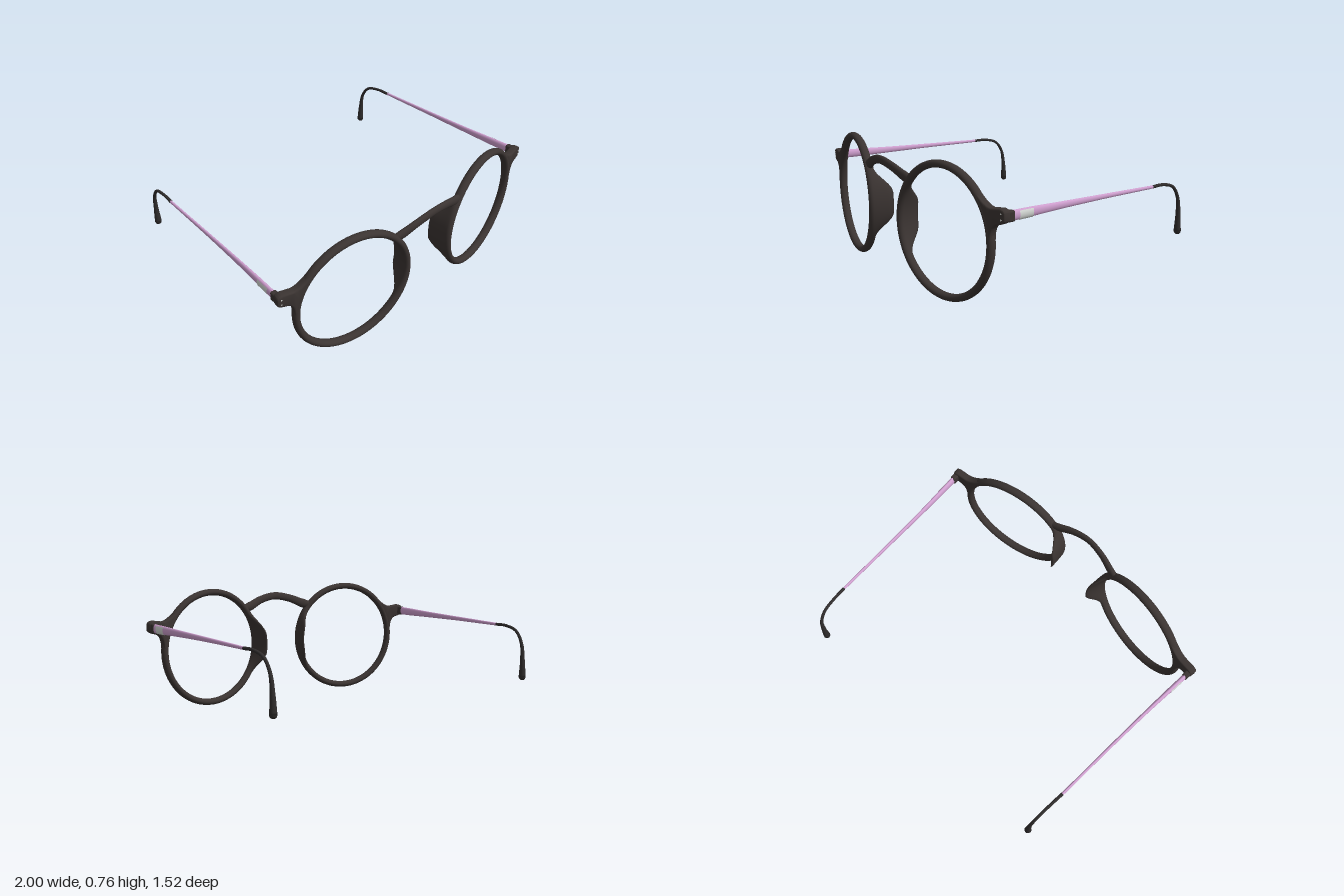
import * as THREE from 'three';
import { RoundedBoxGeometry } from 'three/addons/geometries/RoundedBoxGeometry.js';
import { toCreasedNormals } from 'three/addons/utils/BufferGeometryUtils.js';

const mat = (name, color, side = THREE.FrontSide) => {
  const m = new THREE.MeshStandardMaterial({ color, side });
  m.name = name;
  return m;
};

// Skin a grid of points: rows along the part, columns around its section
function loft(rows, closeRows, closeCols) {
  const n = rows.length, m = rows[0].length, index = [];
  for (let i = 0; i < (closeRows ? n : n - 1); i++) {
    for (let j = 0; j < (closeCols ? m : m - 1); j++) {
      const i2 = (i + 1) % n, j2 = (j + 1) % m;
      const a = i * m + j, b = i * m + j2, c = i2 * m + j, d = i2 * m + j2;
      index.push(a, b, c, b, d, c);
    }
  }
  const g = new THREE.BufferGeometry().setFromPoints(rows.flat());
  g.setIndex(index);
  g.computeVertexNormals();
  return g;
}

// Sweep an ellipse along a smooth path; each station is [x, y, z, sideRadius, upRadius]
function sweep(stations, side, { steps = 40, sides = 16, arc = null } = {}) {
  const curve = new THREE.CatmullRomCurve3(stations.map(s => new THREE.Vector3(s[0], s[1], s[2])));
  const rows = [];
  for (let i = 0; i <= steps; i++) {
    const t = i / steps, f = t * (stations.length - 1);
    const k = Math.min(Math.floor(f), stations.length - 2);
    const rs = THREE.MathUtils.lerp(stations[k][3], stations[k + 1][3], f - k);
    const ru = THREE.MathUtils.lerp(stations[k][4], stations[k + 1][4], f - k);
    const p = curve.getPoint(t), T = curve.getTangent(t);
    const S = side.clone().addScaledVector(T, -side.dot(T)).normalize();
    const U = T.clone().cross(S);
    const row = [];
    for (let j = 0; j < (arc ? sides + 1 : sides); j++) {
      const a = arc ? arc[0] + (arc[1] - arc[0]) * j / sides : j / sides * Math.PI * 2;
      row.push(p.clone().addScaledVector(S, rs * Math.cos(a)).addScaledVector(U, ru * Math.sin(a)));
    }
    // closed end caps
    if (!arc && i === 0) rows.push(row.map(() => p.clone()));
    rows.push(row);
    if (!arc && i === steps) rows.push(row.map(() => p.clone()));
  }
  return loft(rows, false, !arc);
}

// Mirror a geometry across x = 0, keeping faces outward
function mirror(geo) {
  const g = geo.clone().scale(-1, 1, 1);
  const src = g.index ? Array.from(g.index.array)
    : Array.from({ length: g.attributes.position.count }, (_, i) => i);
  for (let i = 0; i < src.length; i += 3) [src[i], src[i + 1]] = [src[i + 1], src[i]];
  g.setIndex(src);
  return g;
}

// Ring whose back edge swells into a nose pad on the nose side
function rimGeometry() {
  const rows = [], n = 96, m = 20;
  for (let i = 0; i < n; i++) {
    const th = i / n * Math.PI * 2;
    const w = THREE.MathUtils.smoothstep(0.62 - Math.abs(th - 3.13), 0, 0.45);
    const row = [];
    for (let j = 0; j < m; j++) {
      const a = j / m * Math.PI * 2;
      const back = w * Math.max(0, Math.sin(a)) ** 2;
      const r = 0.361 + 0.021 * Math.cos(a) * (1 - 0.2 * back) + 0.006 * back;
      row.push(new THREE.Vector3(r * Math.cos(th), r * Math.sin(th),
        -0.026 * Math.sin(a) - 0.1 * back));
    }
    rows.push(row);
  }
  return loft(rows, true, true);
}

// Flared end piece that carries the hinge
function endPieceGeometry() {
  const s = new THREE.Shape();
  s.moveTo(0.235, 0.274);
  s.lineTo(0.262, 0.268);
  s.quadraticCurveTo(0.335, 0.2, 0.378, 0.2);
  s.lineTo(0.44, 0.21);
  s.quadraticCurveTo(0.475, 0.206, 0.475, 0.185);
  s.lineTo(0.475, 0.15);
  s.quadraticCurveTo(0.472, 0.134, 0.42, 0.122);
  s.quadraticCurveTo(0.375, 0.11, 0.376, 0.03);
  s.lineTo(0.36, 0.03);
  s.lineTo(0.338, 0.125);
  s.lineTo(0.29, 0.21);
  const g = new THREE.ExtrudeGeometry(s, {
    depth: 0.028, bevelThickness: 0.01, bevelSize: 0.01, bevelOffset: -0.01,
    bevelSegments: 3, curveSegments: 10,
  });
  return toCreasedNormals(g.translate(0, 0, -0.014), 0.7);
}

export function createModel() {
  const frame = mat('dark brown frame', 0x3b3432);
  const tipDark = mat('charcoal tip', 0x302d2d);
  const lilac = mat('lilac temple', 0xd0a0d0);
  const pale = mat('pale grey', 0xd4d8d4, THREE.DoubleSide);
  const X = new THREE.Vector3(1, 0, 0), Z = new THREE.Vector3(0, 0, 1);

  const model = new THREE.Group();
  model.name = 'eyeglasses';

  // Parts of the left half: [name, geometry, material]
  const place = g => g.rotateY(0.175).translate(0.53, 0.383, 0.652);
  const parts = [
    ['rim', place(rimGeometry()), frame],
    ['endPiece', place(endPieceGeometry()), frame],
    ['hinge', new RoundedBoxGeometry(0.036, 0.058, 0.055, 3, 0.01).translate(0.972, 0.549, 0.542), frame],
    ['temple', sweep([
      [0.972, 0.549, 0.53, 0.015, 0.028],
      [0.962, 0.549, 0.4, 0.014, 0.026],
      [0.948, 0.549, 0.2, 0.011, 0.02],
      [0.932, 0.549, -0.1, 0.009, 0.014],
      [0.914, 0.547, -0.5, 0.008, 0.009],
    ], X), lilac],
    ['templeInlay', sweep([
      [0.9685, 0.549, 0.485, 0.0165, 0.029],
      [0.9615, 0.549, 0.395, 0.0165, 0.0285],
    ], X, { steps: 6, sides: 8, arc: [-0.8, 1.3] }), pale],
    ['earHook', sweep([
      [0.914, 0.547, -0.49, 0.0095, 0.0095],
      [0.907, 0.547, -0.58, 0.009, 0.009],
      [0.9, 0.521, -0.67, 0.009, 0.009],
      [0.895, 0.45, -0.72, 0.01, 0.01],
      [0.892, 0.35, -0.735, 0.014, 0.014],
      [0.891, 0.245, -0.738, 0.021, 0.021],
    ], X), tipDark],
    ['earHookEnd', new THREE.SphereGeometry(0.021, 16, 12).translate(0.891, 0.245, -0.738), tipDark],
  ];
  // Rivets on the end piece
  for (const y of [0.154, 0.186]) {
    parts.push(['rivet', place(new THREE.CylinderGeometry(0.004, 0.004, 0.004, 12)
      .rotateX(Math.PI / 2).translate(0.452, y, 0.024)), pale]);
  }

  for (const side of ['left', 'right']) {
    const half = new THREE.Group();
    half.name = side + 'Half';
    for (const [name, geo, material] of parts) {
      const mesh = new THREE.Mesh(side === 'left' ? geo : mirror(geo), material);
      mesh.name = side + name[0].toUpperCase() + name.slice(1);
      half.add(mesh);
    }
    model.add(half);
  }

  // Arched bridge between the rims
  const arch = [[0.275, 0.62, 0.695, 0.018, 0.02], [0.215, 0.63, 0.707, 0.019, 0.031],
    [0.12, 0.668, 0.729, 0.017, 0.026]];
  const bridge = new THREE.Mesh(sweep([
    ...arch.map(([x, ...rest]) => [-x, ...rest]),
    [0, 0.69, 0.741, 0.016, 0.025],
    ...arch.slice().reverse(),
  ], Z, { steps: 48 }), frame);
  bridge.name = 'bridge';
  model.add(bridge);

  return model;
}
